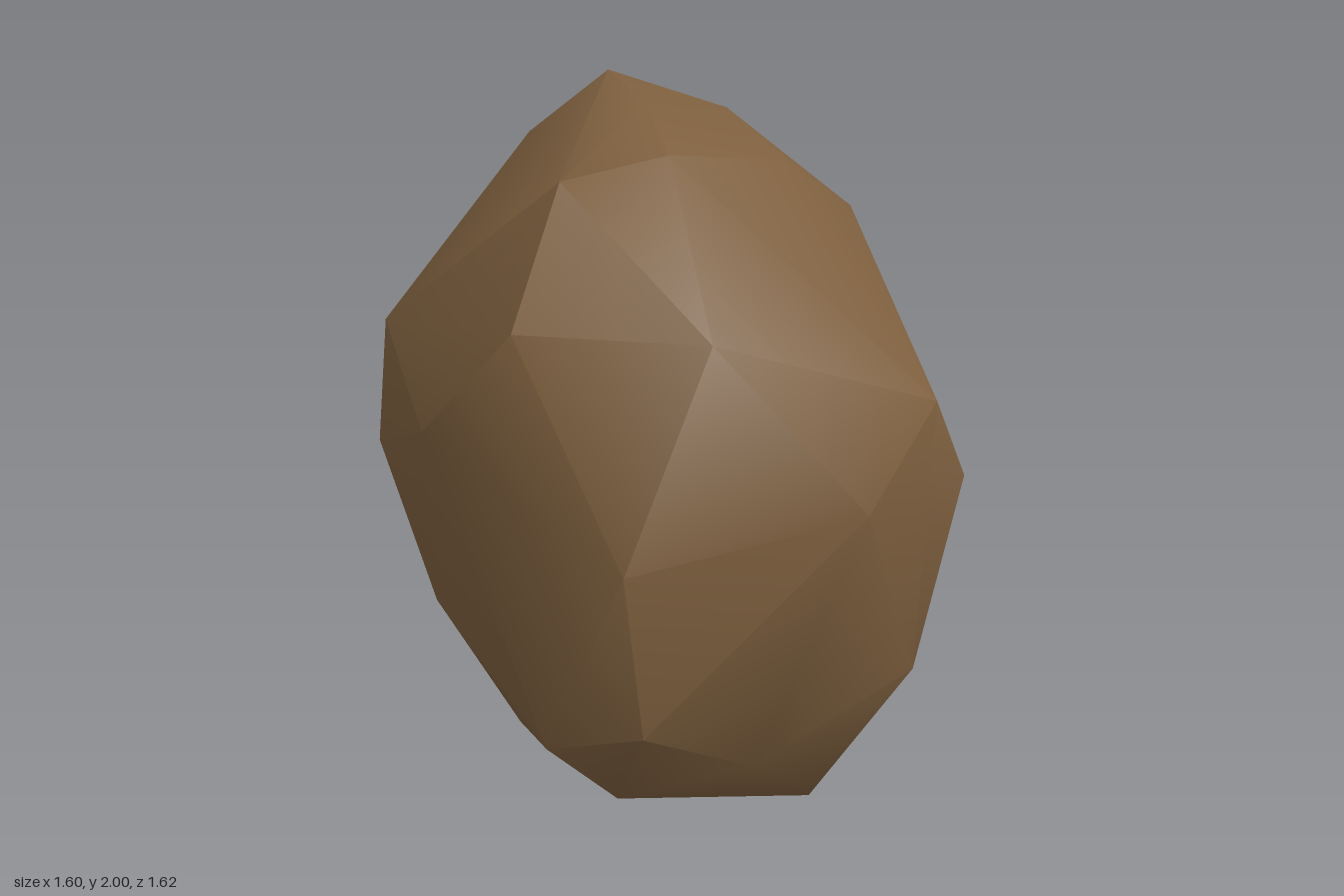
import * as THREE from 'three';
import { ConvexGeometry } from 'three/addons/geometries/ConvexGeometry.js';
import { toCreasedNormals } from 'three/addons/utils/BufferGeometryUtils.js';

// Corner points of the boulder, grouped by region
const crown = [
  [-0.46, 2.0, -0.33], [-0.09, 1.92, -0.04], [0.24, 1.8, 0.28], [0.07, 1.74, 0.5],
  [-0.61, 1.82, -0.14], [-0.49, 1.9, -0.52], [-0.15, 1.89, -0.51], [0.31, 1.77, -0.13],
  [0.27, 1.62, -0.54],
];
const frontFace = [
  [0.13, 1.4, 0.75], [-0.12, 1.14, 0.81], [-0.56, 1.34, 0.51], [-0.46, 1.04, 0.64],
  [-0.22, 0.65, 0.68], [0.46, 0.86, 0.74], [0.47, 0.44, 0.68], [0.23, 0.38, 0.76],
];
const plusSide = [
  [0.77, 1.17, -0.17], [0.8, 0.95, 0.21], [0.69, 0.89, -0.5], [0.75, 0.44, -0.13],
  [0.57, 0.28, 0.35], [0.53, 1.38, 0.49],
];
const minusSide = [
  [-0.8, 1.42, 0.07], [-0.77, 0.83, -0.13], [-0.72, 0.9, 0.26], [-0.68, 0.95, -0.4],
  [-0.69, 1.4, -0.41], [-0.54, 0.42, -0.04],
];
const backFace = [
  [-0.4, 1.32, -0.7], [0.46, 1.1, -0.64], [0.38, 1.24, -0.66], [-0.21, 0.85, -0.81],
  [-0.08, 0.43, -0.65], [0.46, 0.38, -0.52],
];
const base = [
  [0.19, 0, 0.12], [0.5, 0.04, -0.02], [0.18, 0.06, -0.28], [0.29, 0.19, 0.56],
  [-0.23, 0.24, -0.05], [-0.08, 0.29, 0.52],
];

export function createModel() {
  const group = new THREE.Group();
  group.name = 'rock';

  const brownStone = new THREE.MeshStandardMaterial({ color: 0x7d5f3e });
  brownStone.name = 'brown stone';

  // Faceted body: soft shading over shallow angles, crisp ridges elsewhere
  const points = [crown, frontFace, plusSide, minusSide, backFace, base]
    .flat()
    .map((p) => new THREE.Vector3(...p));
  const geometry = toCreasedNormals(new ConvexGeometry(points), THREE.MathUtils.degToRad(38));

  const boulder = new THREE.Mesh(geometry, brownStone);
  boulder.name = 'boulder';
  group.add(boulder);
  return group;
}
